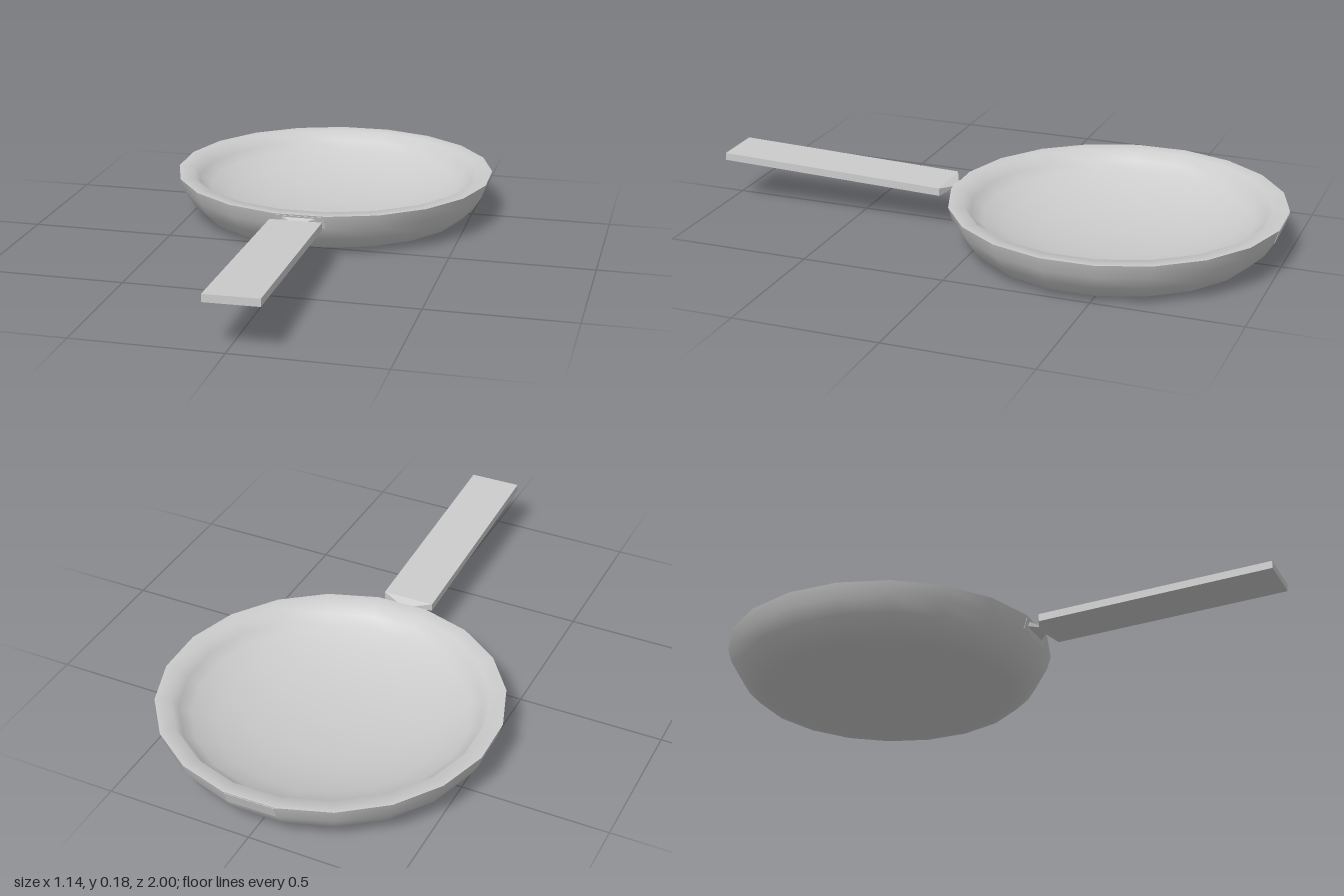
import * as THREE from 'three';

const SIDES = 20;

// Surface of revolution from [radius, height] pairs, with a flat side facing the handle
function turned(name, profile, material) {
  const points = profile.map(([r, y]) => new THREE.Vector2(r, y));
  const mesh = new THREE.Mesh(new THREE.LatheGeometry(points, SIDES, Math.PI / SIDES), material);
  mesh.name = name;
  return mesh;
}

// Box whose slices along z follow [z, halfWidth, bottom, top] sections
function loftedBar(name, sections, material) {
  const n = sections.length - 1;
  const geometry = new THREE.BoxGeometry(1, 1, 1, 1, 1, n);
  const p = geometry.attributes.position;
  for (let i = 0; i < p.count; i++) {
    const [z, w, bottom, top] = sections[Math.round((p.getZ(i) + 0.5) * n)];
    p.setXYZ(i, Math.sign(p.getX(i)) * w, p.getY(i) > 0 ? top : bottom, z);
  }
  geometry.computeVertexNormals();
  const mesh = new THREE.Mesh(geometry, material);
  mesh.name = name;
  return mesh;
}

export function createModel() {
  const smooth = new THREE.MeshStandardMaterial({ color: 0xcccccc });
  const flat = new THREE.MeshStandardMaterial({ color: 0xcccccc, flatShading: true });
  const model = new THREE.Group();
  model.name = 'fryingPan';

  // Everything turns slightly about the centre of the bowl
  const pan = new THREE.Group();
  pan.name = 'pan';
  pan.position.set(-0.001, 0, -0.433);
  pan.rotation.y = 0.0165;
  model.add(pan);

  // Bowl: outer wall with flat base, then rim running smoothly into the round dish
  pan.add(turned('bowlOutside', [
    [0, 0], [0.43, 0.001], [0.485, 0.017], [0.53, 0.062], [0.56, 0.11], [0.575, 0.158],
  ], smooth));
  pan.add(turned('rimAndDish', [
    [0.575, 0.158], [0.522, 0.157], [0.5, 0.125], [0.46, 0.098],
    [0.38, 0.064], [0.26, 0.034], [0.13, 0.018], [0, 0.015],
  ], smooth));

  // Flat facets on the wall, behind the handle and opposite it
  for (const turn of [0, Math.PI]) {
    const side = new THREE.Group();
    side.name = 'wallFacet';
    side.rotation.y = turn;
    const facet = new THREE.Mesh(new THREE.BoxGeometry(0.172, 0.044, 0.006), flat);
    facet.position.set(0, 0.133, 0.5585);
    facet.rotation.x = 0.3;
    side.add(facet);
    pan.add(side);
  }

  // Handle: pinched neck widening to a flat bar that rises gently
  const handle = loftedBar('handle', [
    [0.555, 0.07, 0.128, 0.15],
    [0.588, 0.03, 0.134, 0.142],
    [0.613, 0.091, 0.125, 0.152],
    [1.433, 0.091, 0.157, 0.183],
  ], flat);
  handle.position.x = -0.003;
  pan.add(handle);

  return model;
}
